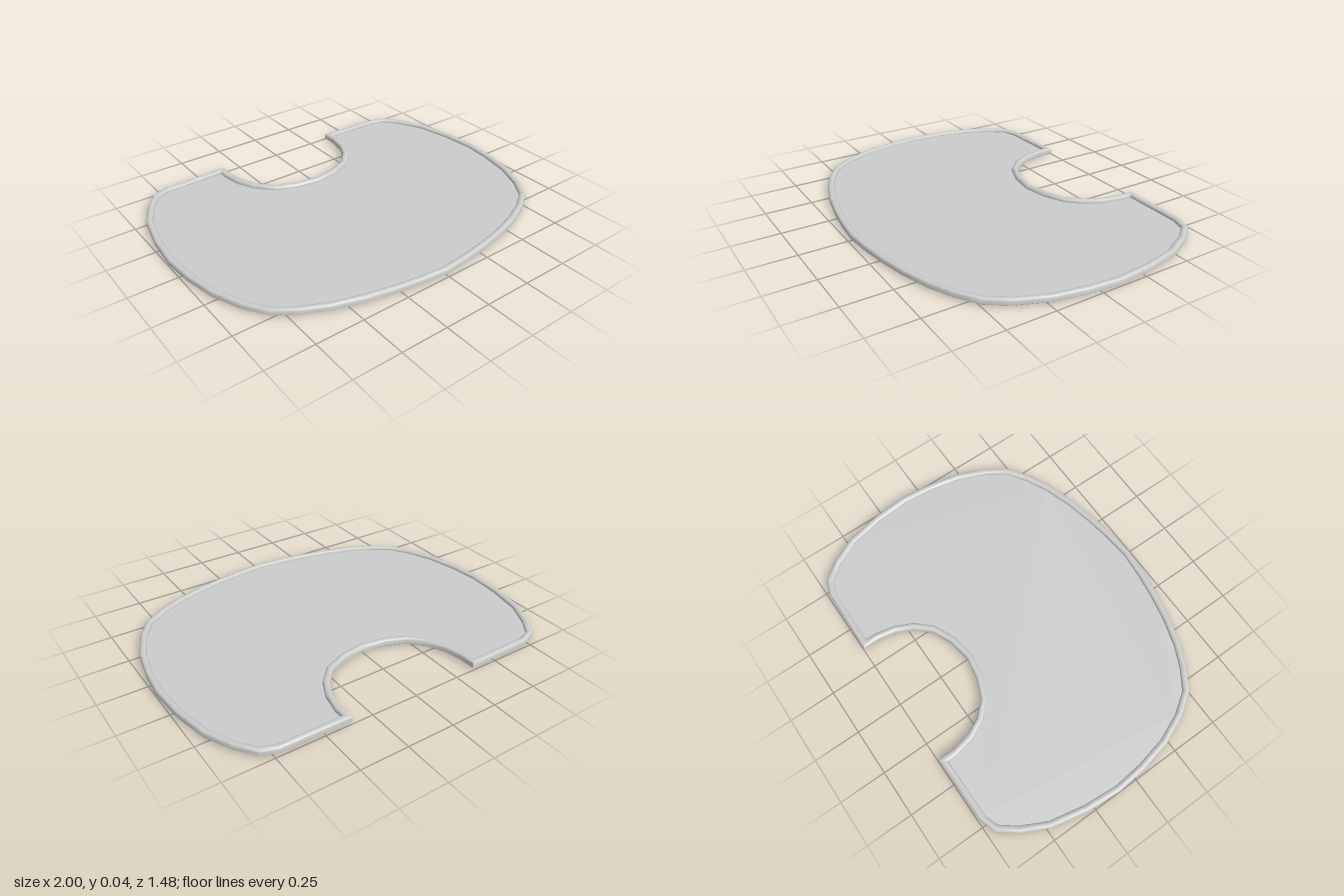
import * as THREE from 'three';
import { toCreasedNormals } from 'three/addons/utils/BufferGeometryUtils.js';

// Half of the outline in plan (x, depth), from front centre round to notch centre;
// depth is -z so the full loop runs counter-clockwise seen from above.
const HALF = [
  [0, -0.737], [0.145, -0.724], [0.285, -0.703], [0.43, -0.672], [0.58, -0.625], [0.7, -0.568],
  [0.81, -0.495], [0.885, -0.385], [0.95, -0.23], [0.985, -0.06], [1, 0.1], [0.985, 0.29],
  [0.945, 0.48], [0.875, 0.62], [0.805, 0.71], [0.72, 0.74], [0.357, 0.745],
  [0.357, 0.66], [0.337, 0.56], [0.295, 0.475], [0.225, 0.4], [0.12, 0.355], [0, 0.335],
];
const NOTCH_START = 16;

// Rim cross-section: [inset from outline, height]
const RIM = [
  [0.022, 0], [0.006, 0.004], [0, 0.009], [0, 0.028], [0.004, 0.034],
  [0.011, 0.037], [0.021, 0.037], [0.029, 0.034], [0.034, 0.028], [0.034, 0.02],
];

// Move the closed outline inwards by d with mitred corners
function inset(points, d) {
  const n = points.length;
  return points.map((p, i) => {
    const e1 = p.clone().sub(points[(i + n - 1) % n]).normalize();
    const e2 = points[(i + 1) % n].clone().sub(p).normalize();
    const n1 = new THREE.Vector2(-e1.y, e1.x);
    const n2 = new THREE.Vector2(-e2.y, e2.x);
    const k = d / (1 + n1.dot(n2));
    return p.clone().add(n1.add(n2).multiplyScalar(k));
  });
}

// Sweep the rim section round the outline
function rimGeometry(outline) {
  const n = outline.length, pos = [], index = [];
  RIM.forEach(([d, h]) => inset(outline, d).forEach((p, i) => {
    const half = Math.min(i, n - i);
    const lift = half >= NOTCH_START && h > 0.02 ? 0.003 : 0; // notch lip stands a touch higher
    pos.push(p.x, h + lift, -p.y);
  }));
  for (let k = 0; k < RIM.length - 1; k++) {
    for (let i = 0; i < n; i++) {
      const j = (i + 1) % n;
      const a = k * n + i, b = k * n + j, c = b + n, d = a + n;
      index.push(a, b, c, a, c, d);
    }
  }
  const geo = new THREE.BufferGeometry();
  geo.setAttribute('position', new THREE.Float32BufferAttribute(pos, 3));
  geo.setIndex(index);
  return toCreasedNormals(geo, 0.75);
}

export function createModel() {
  const group = new THREE.Group();
  group.name = 'tray';
  const material = new THREE.MeshStandardMaterial({ color: 0xcccccc });
  const add = (name, geo) => {
    const mesh = new THREE.Mesh(geo, material);
    mesh.name = name;
    group.add(mesh);
    return mesh;
  };

  const mirrored = HALF.slice(1, -1).reverse().map(([x, y]) => [-x, y]);
  const outline = [...HALF, ...mirrored].map(([x, y]) => new THREE.Vector2(x, y));

  add('rim', rimGeometry(outline));

  // Recessed floor inside the rim
  const [floorInset, floorHeight] = RIM[RIM.length - 1];
  const floor = new THREE.ShapeGeometry(new THREE.Shape(inset(outline, floorInset)));
  add('trayFloor', floor.rotateX(-Math.PI / 2).translate(0, floorHeight, 0));

  // Flat underside
  const under = inset(outline, RIM[0][0]).map((p) => new THREE.Vector2(p.x, -p.y));
  add('underside', new THREE.ShapeGeometry(new THREE.Shape(under)).rotateX(Math.PI / 2));

  return group;
}
